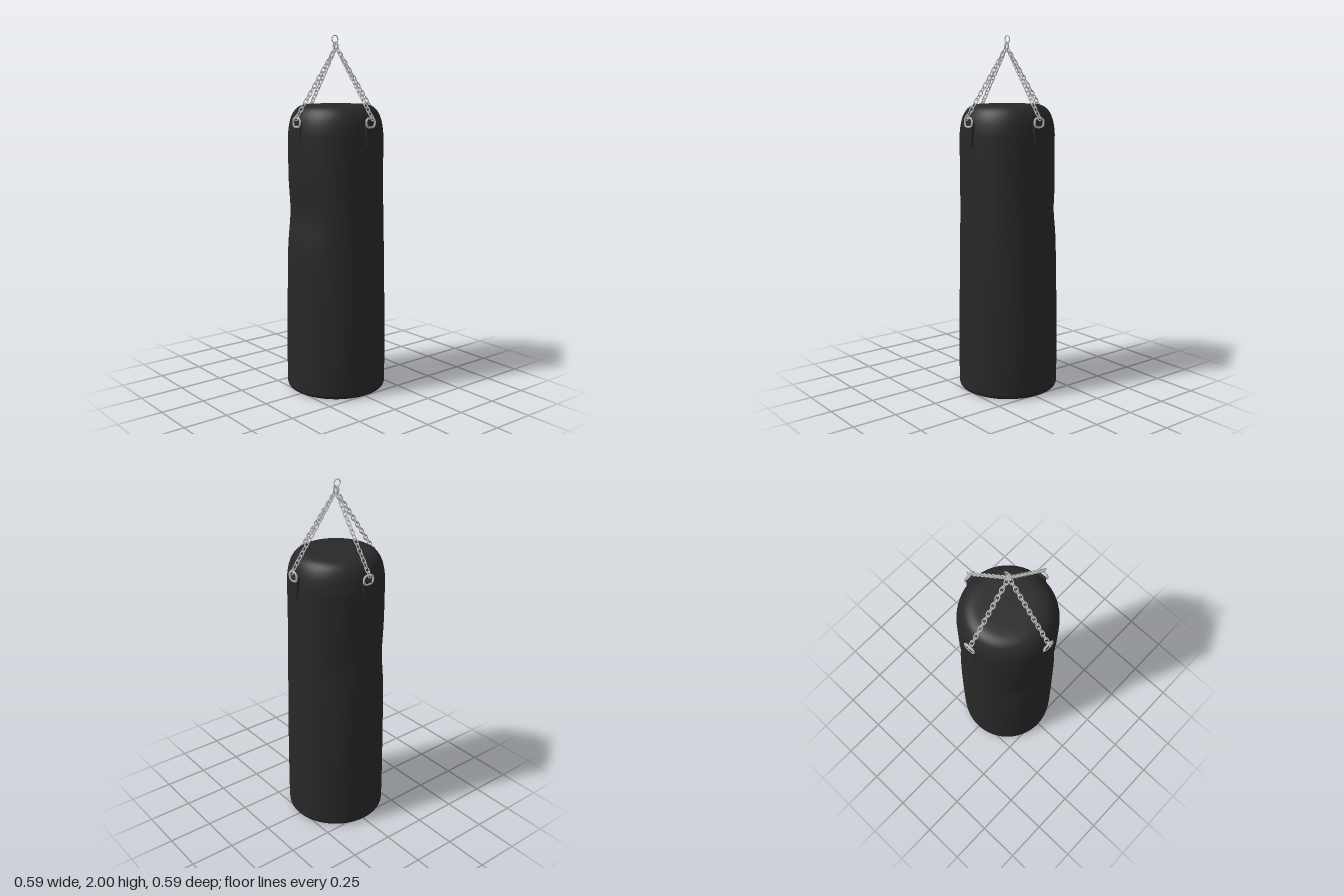
import * as THREE from 'three';
import { mergeVertices } from 'three/addons/utils/BufferGeometryUtils.js';

const leather = new THREE.MeshStandardMaterial({ color: 0x282828 });
leather.name = 'black leather';
const steel = new THREE.MeshStandardMaterial({ color: 0xbcbcbc });
steel.name = 'steel';

const CENTRE_X = -0.01;

function add(parent, name, geometry, material) {
  const mesh = new THREE.Mesh(geometry, material);
  mesh.name = name;
  parent.add(mesh);
  return mesh;
}

// Closed wire loop with chamfered corners, lying in the XY plane
function wireLoop(width, height, wire, corner) {
  const w = width / 2 - wire, h = height / 2 - wire, c = corner;
  const corners = [[w, h - c], [w - c, h], [c - w, h], [-w, h - c], [-w, c - h], [c - w, -h], [w - c, -h], [w, c - h]];
  const curve = new THREE.CatmullRomCurve3(corners.map(([x, y]) => new THREE.Vector3(x, y, 0)), true, 'centripetal');
  return new THREE.TubeGeometry(curve, 24, wire, 6, true);
}

// Worn hollows: direction round the bag, height, depth, angular and vertical spread
const DENTS = [
  { angle: -0.1, y: 1.02, depth: 0.026, spread: 0.65, tall: 0.13 },
  { angle: -2.15, y: 1.03, depth: 0.01, spread: 0.35, tall: 0.09 },
];

// Bag: turned profile, with the hollows pressed in
function bagGeometry() {
  const side = [
    [0.25, 0], [0.268, 0.005], [0.279, 0.018], [0.282, 0.05], [0.282, 0.2], [0.279, 0.5], [0.274, 0.8],
    [0.268, 1.1], [0.266, 1.4], [0.264, 1.48], [0.25, 1.55], [0.222, 1.598], [0.18, 1.621], [0.12, 1.626],
  ].map(([r, y]) => new THREE.Vector2(r, y));
  const profile = [new THREE.Vector2(0, 0), ...new THREE.SplineCurve(side).getPoints(104), new THREE.Vector2(0, 1.626)];
  let geometry = new THREE.LatheGeometry(profile, 72);
  const pos = geometry.attributes.position;
  for (let i = 0; i < pos.count; i++) {
    const x = pos.getX(i), y = pos.getY(i), z = pos.getZ(i);
    const r = Math.hypot(x, z);
    let k = 1;
    for (const d of DENTS) {
      const turn = Math.atan2(x, z) - d.angle;
      const angle = Math.atan2(Math.sin(turn), Math.cos(turn));
      const push = d.depth * Math.exp(-(((y - d.y) / d.tall) ** 2) - (angle / d.spread) ** 2);
      if (r > 0.2) k -= push / r;
    }
    const lean = 0.004 * THREE.MathUtils.smoothstep(y, 0.5, 1.4);
    pos.setXYZ(i, x * k + lean * 0.7, y, z * k + lean);
  }
  // Weld the seam so the shading is continuous
  geometry.deleteAttribute('normal');
  geometry.deleteAttribute('uv');
  geometry = mergeVertices(geometry, 1e-5);
  geometry.computeVertexNormals();
  return geometry;
}

// Sewn strap tab with a tapered lower end
function strapGeometry() {
  const s = new THREE.Shape();
  s.moveTo(-0.026, 1.525);
  s.lineTo(-0.026, 1.47);
  s.lineTo(-0.018, 1.405);
  s.lineTo(-0.01, 1.392);
  s.lineTo(0.01, 1.392);
  s.lineTo(0.018, 1.405);
  s.lineTo(0.026, 1.47);
  s.lineTo(0.026, 1.525);
  s.closePath();
  return new THREE.ExtrudeGeometry(s, { depth: 0.016, bevelEnabled: true, bevelSize: 0.001, bevelThickness: 0.001, bevelSegments: 1 });
}

export function createModel() {
  const model = new THREE.Group();
  model.name = 'heavyBag';

  add(model, 'bag', bagGeometry(), leather).position.x = CENTRE_X;

  const strap = strapGeometry();
  const buckle = wireLoop(0.07, 0.056, 0.0058, 0.01);
  const fold = new THREE.CylinderGeometry(0.0085, 0.0085, 0.044, 12);
  const link = wireLoop(0.0245, 0.039, 0.003, 0.005);

  // Hanging ring and the link gathering the four chains
  const top = new THREE.Vector3(-0.003, 1.936, 0.005);
  const ring = add(model, 'hangingRing', new THREE.TorusGeometry(0.0205, 0.0032, 8, 28), steel);
  ring.position.set(-0.01, 1.9763, 0.008);
  ring.rotation.y = Math.PI / 2;
  const hub = add(model, 'gatheringLink', wireLoop(0.036, 0.042, 0.0036, 0.009), steel);
  hub.position.set(-0.005, 1.942, 0.006);
  hub.rotation.y = 0.3;

  const LINKS = 19;
  const sides = [
    { name: 'front', angle: 0, end: [0, 1.556, 0.276] },
    { name: 'left', angle: Math.PI / 2 + 0.045, end: [0.28, 1.556, -0.014] },
    { name: 'back', angle: Math.PI, end: [0, 1.556, -0.279] },
    { name: 'right', angle: -Math.PI / 2, end: [-0.28, 1.556, 0.004] },
  ];
  for (const { name, angle, end } of sides) {
    // Strap, its fold and the buckle it holds
    const mount = new THREE.Group();
    mount.name = name + 'Mount';
    mount.position.x = Math.abs(Math.sin(angle)) > 0.5 ? -0.005 : -0.002;
    mount.rotation.y = angle;
    model.add(mount);
    add(mount, 'strap', strap, leather).position.z = 0.256;
    const roll = add(mount, 'strapFold', fold, leather);
    roll.position.set(0, 1.511, 0.27);
    roll.rotation.z = Math.PI / 2;
    add(mount, 'buckle', buckle, steel).position.set(0, 1.53, 0.276);

    // Chain of links turned a quarter round in alternation
    const chain = new THREE.Group();
    chain.name = name + 'Chain';
    model.add(chain);
    const bottom = new THREE.Vector3(...end);
    const along = top.clone().sub(bottom).normalize();
    const across = new THREE.Vector3().crossVectors(new THREE.Vector3(0, 1, 0), along).normalize();
    const out = new THREE.Vector3().crossVectors(across, along);
    for (let i = 0; i < LINKS; i++) {
      const piece = add(chain, 'chainLink', link, steel);
      piece.position.lerpVectors(bottom, top, i / (LINKS - 1));
      const x = i % 2 ? across : out;
      const z = new THREE.Vector3().crossVectors(x, along);
      piece.quaternion.setFromRotationMatrix(new THREE.Matrix4().makeBasis(x, along, z));
    }
  }
  return model;
}
